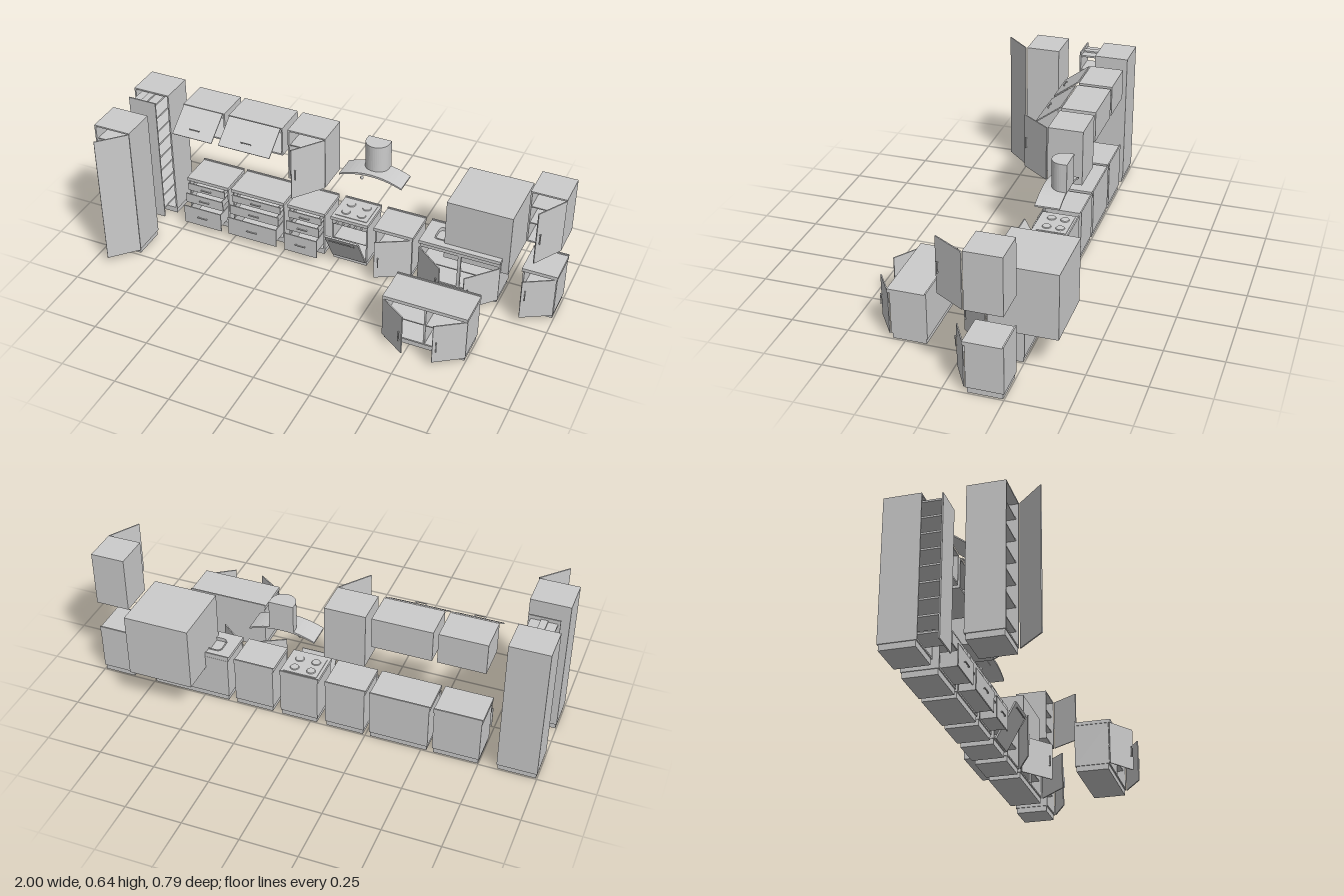
import * as THREE from 'three';

const mat = new THREE.MeshStandardMaterial({ color: 0xcccccc, side: THREE.DoubleSide, flatShading: true });
const T = 0.007; // board thickness
const BACK = -0.25, FRONT = -0.095;

function add(parent, geo, name) {
  const m = new THREE.Mesh(geo, mat);
  m.name = name;
  parent.add(m);
  return m;
}
// box from its minimum and maximum corners
function box(p, name, x0, x1, y0, y1, z0, z1) {
  const m = add(p, new THREE.BoxGeometry(x1 - x0, y1 - y0, z1 - z0), name);
  m.position.set((x0 + x1) / 2, (y0 + y1) / 2, (z0 + z1) / 2);
  return m;
}
function group(parent, name) {
  const g = new THREE.Group();
  g.name = name;
  parent.add(g);
  return g;
}
// bar handle on two posts, projecting along +z
function handle(p, x, y, z, length, vertical) {
  const g = group(p, 'handle');
  g.position.set(x, y, z);
  if (vertical) g.rotation.z = Math.PI / 2;
  const h = length / 2;
  box(g, 'handleBar', -h, h, -0.002, 0.002, 0.004, 0.008);
  for (const s of [-1, 1]) box(g, 'handlePost', s * h * 0.85 - 0.002, s * h * 0.85 + 0.002, -0.002, 0.002, 0, 0.005);
}
// hollow cabinet, open to the front
function carcass(p, x0, x1, y0, y1, z0, z1, shelves = []) {
  box(p, 'leftPanel', x1 - T, x1, y0, y1, z0, z1);
  box(p, 'rightPanel', x0, x0 + T, y0, y1, z0, z1);
  box(p, 'backPanel', x0 + T, x1 - T, y0, y1, z0, z0 + T);
  box(p, 'bottomPanel', x0 + T, x1 - T, y0, y0 + T, z0 + T, z1);
  box(p, 'topPanel', x0 + T, x1 - T, y1 - T, y1, z0 + T, z1);
  for (const y of shelves) box(p, 'shelf', x0 + T, x1 - T, y, y + 0.005, z0 + T, z1 - 0.01);
}
// door on a vertical hinge; side +1 has the hinge at the larger x
function door(p, x, z, side, angle, width, y0, y1, handleY) {
  const g = group(p, 'door');
  g.position.set(x, 0, z);
  g.rotation.y = side * angle;
  const end = -side * width;
  box(g, 'doorPanel', Math.min(0, end), Math.max(0, end), y0, y1, 0, 0.005);
  if (handleY) handle(g, end * 0.9, handleY, 0.005, 0.05, true);
}
// base unit with plinth, carcass, worktop and rear lip
function baseUnit(root, name, x0, x1, z0 = BACK, shelves = [], top = true) {
  const g = group(root, name), z1 = z0 + 0.155;
  box(g, 'plinth', x0 + 0.004, x1 - 0.004, 0, 0.025, z0 + 0.005, z1 - 0.005);
  carcass(g, x0, x1, 0.025, 0.218, z0, z1, shelves);
  if (top) box(g, 'worktop', x0 - 0.003, x1 + 0.003, 0.218, 0.234, z0, z1 + 0.01);
  box(g, 'worktopLip', x0 - 0.003, x1 + 0.003, 0.234, 0.24, z0, z0 + 0.006);
  return g;
}
// open-topped drawer pulled out to z
function drawer(p, x0, x1, y0, y1, z) {
  const g = group(p, 'drawer'), a = x0 + 0.022, b = x1 - 0.022, top = y0 + (y1 - y0) * 0.75;
  box(g, 'drawerFront', x0 + 0.008, x1 - 0.008, y0, y1, z - 0.005, z);
  box(g, 'drawerBase', a, b, y0 + 0.004, y0 + 0.008, z - 0.14, z - 0.005);
  box(g, 'drawerSide', a, a + 0.004, y0 + 0.004, top, z - 0.14, z - 0.005);
  box(g, 'drawerSide', b - 0.004, b, y0 + 0.004, top, z - 0.14, z - 0.005);
  box(g, 'drawerBack', a, b, y0 + 0.004, top, z - 0.144, z - 0.14);
  handle(g, (x0 + x1) / 2, (y0 + y1) / 2, z, 0.05, false);
}
// rounded rectangle outline, in plan
function rounded(target, x0, x1, y0, y1, r) {
  target.moveTo(x0 + r, y0).lineTo(x1 - r, y0).quadraticCurveTo(x1, y0, x1, y0 + r).lineTo(x1, y1 - r)
    .quadraticCurveTo(x1, y1, x1 - r, y1).lineTo(x0 + r, y1).quadraticCurveTo(x0, y1, x0, y1 - r)
    .lineTo(x0, y0 + r).quadraticCurveTo(x0, y0, x0 + r, y0);
  return target;
}
// extrude a plan shape (x, -z) upwards from y0 to y1
function plan(p, name, shape, y0, y1) {
  const geo = new THREE.ExtrudeGeometry(shape, { depth: y1 - y0, bevelEnabled: false, curveSegments: 10 });
  const m = add(p, geo.rotateX(-Math.PI / 2), name);
  m.position.y = y0;
  return m;
}

function tallUnits(root) {
  // pull-out larder
  const larder = group(root, 'pullOutLarder');
  box(larder, 'plinth', -0.996, -0.832, 0, 0.025, -0.245, -0.1);
  carcass(larder, -1, -0.828, 0.025, 0.645, BACK, FRONT);
  const rack = group(larder, 'pullOutRack');
  box(rack, 'rackFront', -0.98, -0.848, 0.03, 0.645, -0.021, -0.015);
  box(rack, 'rackTopRail', -0.93, -0.9, 0.625, 0.635, -0.23, -0.021);
  for (let i = 0; i < 9; i++) {
    const y = 0.06 + i * 0.07;
    box(rack, 'rackShelf', -0.97, -0.858, y, y + 0.008, -0.23, -0.021);
  }
  // tall cupboard with open door
  const tall = group(root, 'tallCupboard');
  box(tall, 'plinth', -0.996, -0.832, 0, 0.025, 0.087, 0.235);
  carcass(tall, -1, -0.828, 0.025, 0.645, 0.082, 0.238, [0.09, 0.19, 0.285, 0.38, 0.475, 0.57]);
  door(tall, -0.828, 0.241, 1, 0.81, 0.152, 0.025, 0.645);
}

function ovenUnit(root) {
  const g = baseUnit(root, 'ovenUnit', -0.032, 0.138);
  box(g, 'controlPanel', -0.03, 0.136, 0.195, 0.217, -0.1, -0.09);
  for (let i = 0; i < 5; i++) {
    const k = add(g, new THREE.CylinderGeometry(0.005, 0.005, 0.008, 12).rotateX(Math.PI / 2), 'knob');
    k.position.set(-0.005 + i * 0.029, 0.206, -0.086);
  }
  box(g, 'ovenRack', -0.025, 0.131, 0.11, 0.113, -0.24, -0.1);
  // bottom-hinged oven door
  const d = group(g, 'ovenDoor');
  d.position.set(0.053, 0.027, -0.094);
  d.rotation.x = 0.5;
  box(d, 'doorPanel', -0.08, 0.08, 0, 0.183, 0, 0.008);
  handle(d, 0, 0.165, 0.008, 0.12, false);
  // hob
  box(g, 'hobPlate', -0.022, 0.128, 0.234, 0.237, -0.235, -0.105);
  for (const x of [0.015, 0.09]) for (const z of [-0.2, -0.14]) {
    const b = add(g, new THREE.CylinderGeometry(0.018, 0.02, 0.004, 20), 'burner');
    b.position.set(x, 0.239, z);
  }
}

function hood(root) {
  const g = group(root, 'extractorHood'), c = 0.125;
  const arch = new THREE.Shape();
  arch.moveTo(c - 0.145, 0.428).quadraticCurveTo(c, 0.486, c + 0.145, 0.428)
    .lineTo(c + 0.145, 0.435).quadraticCurveTo(c, 0.499, c - 0.145, 0.435).closePath();
  const canopy = add(g, new THREE.ExtrudeGeometry(arch, { depth: 0.107, bevelEnabled: false, curveSegments: 14 }), 'canopy');
  canopy.position.z = -0.248;
  const u = new THREE.Shape();
  u.moveTo(c + 0.054, 0.25).lineTo(c - 0.054, 0.25).lineTo(c - 0.054, 0.225).absarc(c, 0.225, 0.054, Math.PI, 2 * Math.PI, false).closePath();
  plan(g, 'chimney', u, 0.458, 0.59);
  box(g, 'filter', c - 0.03, c + 0.03, 0.454, 0.458, -0.22, -0.17);
  add(g, new THREE.SphereGeometry(0.008, 10, 8), 'lampBulb').position.set(0.067, 0.405, -0.19);
}

function sinkUnit(root) {
  const g = baseUnit(root, 'sinkUnit', 0.383, 0.747, BACK, [0.11], false);
  const bowl = [0.435, 0.58, 0.13, 0.21];
  const top = rounded(new THREE.Shape(), 0.38, 0.75, 0.085, 0.25, 0.001);
  top.holes.push(rounded(new THREE.Path(), ...bowl, 0.02));
  plan(g, 'worktop', top, 0.2185, 0.234);
  const wall = rounded(new THREE.Shape(), 0.43, 0.585, 0.125, 0.215, 0.024);
  wall.holes.push(rounded(new THREE.Path(), ...bowl, 0.02));
  plan(g, 'sinkRim', wall, 0.218, 0.237);
  plan(g, 'sinkFloor', rounded(new THREE.Shape(), ...bowl, 0.02), 0.2182, 0.22);
  box(g, 'frontRail', 0.39, 0.74, 0.198, 0.216, -0.1, -0.093);
  box(g, 'divider', 0.558, 0.572, 0.03, 0.2, -0.105, -0.095);
  door(g, 0.383, -0.092, -1, 0.67, 0.172, 0.025, 0.197, 0.11);
  door(g, 0.747, -0.092, 1, 0.83, 0.172, 0.025, 0.197, 0.11);
}

export function createModel() {
  const root = new THREE.Group();
  root.name = 'kitchenSet';
  tallUnits(root);

  // drawer units, each lower drawer pulled out further
  for (const [x0, x1] of [[-0.752, -0.548], [-0.527, -0.268], [-0.243, -0.068]]) {
    const g = baseUnit(root, 'drawerUnit', x0, x1);
    [[0.178, 0.215, -0.07], [0.126, 0.174, -0.047], [0.03, 0.122, -0.022]]
      .forEach(([a, b, z]) => drawer(g, x0, x1, a, b, z));
  }
  // wall units with lift-up flaps
  for (const [x0, x1] of [[-0.752, -0.548], [-0.527, -0.268]]) {
    const g = group(root, 'flapWallUnit');
    carcass(g, x0, x1, 0.485, 0.625, BACK, FRONT);
    const flap = group(g, 'flap');
    flap.position.set((x0 + x1) / 2, 0.623, -0.092);
    flap.rotation.x = -0.93;
    const h = (x1 - x0) / 2 - 0.006;
    box(flap, 'flapPanel', -h, h, -0.142, 0, 0, 0.005);
    handle(flap, 0, -0.105, 0.005, 0.05, false);
  }
  // wall cupboards with side-hinged doors
  for (const [x0, x1, angle, w] of [[-0.243, -0.065, 0.92, 0.162], [0.845, 0.997, 1.03, 0.15]]) {
    const g = group(root, 'wallCupboard');
    carcass(g, x0, x1, 0.373, 0.625, BACK, FRONT, [0.46, 0.54]);
    door(g, x1 - 0.003, -0.092, 1, angle, w, 0.375, 0.623, 0.495);
  }

  ovenUnit(root);
  hood(root);
  sinkUnit(root);

  const narrow = baseUnit(root, 'baseCupboard', 0.173, 0.35, BACK, [0.12]);
  door(narrow, 0.348, -0.092, 1, 0.5, 0.165, 0.025, 0.218, 0.11);
  const end = baseUnit(root, 'endCupboard', 0.847, 0.997, BACK, [0.12]);
  door(end, 0.993, -0.092, 1, 0.52, 0.145, 0.025, 0.218, 0.148);

  // island with two doors
  const island = baseUnit(root, 'islandCupboard', 0.383, 0.747, 0.155, [0.12]);
  box(island, 'divider', 0.561, 0.569, 0.03, 0.212, 0.165, 0.308);
  door(island, 0.383, 0.312, -1, 0.6, 0.142, 0.025, 0.218, 0.11);
  door(island, 0.747, 0.312, 1, 0.6, 0.142, 0.025, 0.218, 0.11);

  // large plain block behind the sink
  box(root, 'block', 0.488, 0.78, 0.158, 0.45, -0.398, -0.112);
  return root;
}
